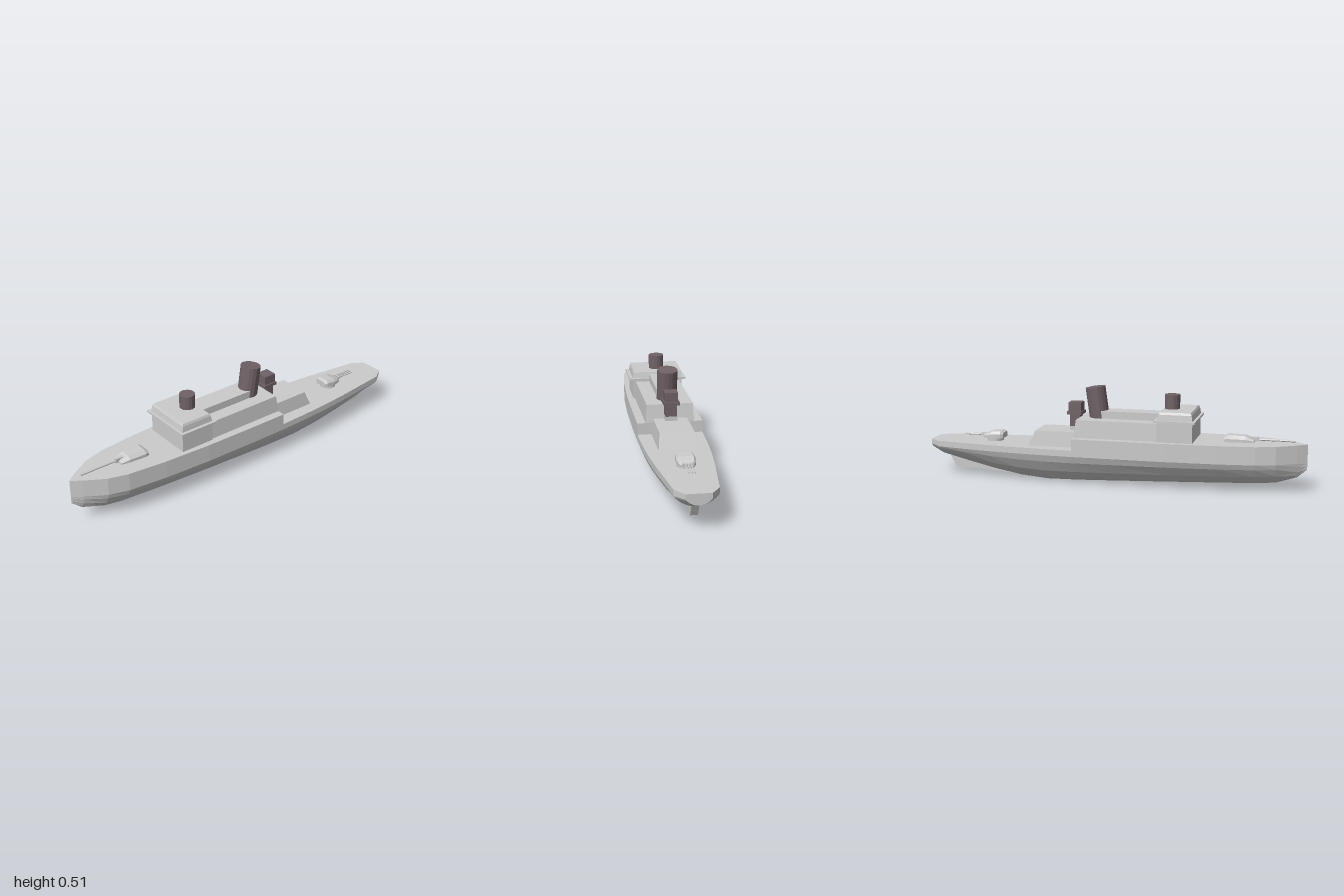
import * as THREE from 'three';

const grey = new THREE.MeshStandardMaterial({ color: 0xcccccc, flatShading: true });
const dark = new THREE.MeshStandardMaterial({ color: 0x6f6267, flatShading: true });

function add(parent, name, geometry, material = grey) {
  const mesh = new THREE.Mesh(geometry, material);
  mesh.name = name;
  parent.add(mesh);
  return mesh;
}

// Skin closed cross-sections (counterclockwise seen from +z) running from bow to stern
function loft(sections) {
  const n = sections[0].length;
  const index = [];
  for (let i = 0; i < sections.length - 1; i++) {
    for (let j = 0; j < n; j++) {
      const a = i * n + j, b = i * n + (j + 1) % n;
      index.push(a, a + n, b, b, a + n, b + n);
    }
  }
  const last = (sections.length - 1) * n;
  for (let j = 1; j < n - 1; j++) {
    index.push(0, j, j + 1, last, last + j + 1, last + j);
  }
  const g = new THREE.BufferGeometry();
  g.setAttribute('position', new THREE.Float32BufferAttribute(sections.flat(2), 3));
  g.setIndex(index);
  const flat = g.toNonIndexed();
  flat.computeVertexNormals();
  return flat;
}

// Block with sloping sides: half widths and z ranges at its bottom and top
function block(y0, y1, w0, w1, [back0, front0], [back1, front1]) {
  const end = (zb, zt) => [[-w0, y0, zb], [w0, y0, zb], [w1, y1, zt], [-w1, y1, zt]];
  return loft([end(front0, front1), end(back0, back1)]);
}

function barrel(parent, x, y, z0, z1, r) {
  const g = new THREE.CylinderGeometry(r, r, Math.abs(z1 - z0), 8).rotateX(Math.PI / 2);
  add(parent, 'gunBarrel', g).position.set(x, y, (z0 + z1) / 2);
}

function buildHull(ship) {
  // z, half beam, deck height, bilge height, keel height
  const stations = [
    [1, 0.001, 0.25, 0.157, 0.12], [0.95, 0.038, 0.25, 0.157, 0.08],
    [0.85, 0.098, 0.25, 0.157, 0.05], [0.75, 0.128, 0.25, 0.157, 0.042],
    [0.55, 0.15, 0.25, 0.157, 0.034], [0.3, 0.163, 0.25, 0.157, 0.024],
    [0, 0.167, 0.25, 0.157, 0.012], [-0.185, 0.167, 0.25, 0.157, 0.005],
    [-0.185, 0.167, 0.19, 0.157, 0.005], [-0.35, 0.162, 0.19, 0.157, 0.002],
    [-0.5, 0.153, 0.19, 0.157, 0.014], [-0.65, 0.139, 0.19, 0.157, 0.04],
    [-0.8, 0.12, 0.19, 0.158, 0.073], [-0.94, 0.103, 0.19, 0.16, 0.108],
    [-1, 0.06, 0.19, 0.165, 0.135],
  ];
  // Fractions of the half beam and of the bilge depth
  const profile = [[1, 1], [0.91, 0.76], [0.69, 0.4], [0.41, 0.11], [0.2, 0]];
  add(ship, 'hull', loft(stations.map(([z, w, deck, bilge, keel]) => {
    const side = [[w, deck, z], ...profile.map(([fx, fy]) => [w * fx, keel + (bilge - keel) * fy, z])];
    return [...side.map(([x, y, d]) => [-x, y, d]), ...side.reverse()];
  })));

  // Stern fin
  const fin = new THREE.Shape([[-0.45, 0.01], [-0.65, 0.024], [-0.88, 0.038], [-0.92, 0.115], [-0.6, 0.06]]
    .map(([z, y]) => new THREE.Vector2(-z, y)));
  add(ship, 'sternFin', new THREE.ExtrudeGeometry(fin, { depth: 0.036, bevelEnabled: false })
    .translate(0, 0, -0.018).rotateY(Math.PI / 2));
}

function buildHouses(ship) {
  // Bridge
  add(ship, 'bridgeBase', block(0.25, 0.352, 0.132, 0.132, [0.255, 0.436], [0.255, 0.436]));
  add(ship, 'bridgePlatform', block(0.352, 0.362, 0.151, 0.151, [0.24, 0.451], [0.24, 0.451]));
  add(ship, 'bridgeTop', block(0.362, 0.392, 0.134, 0.131, [0.256, 0.437], [0.263, 0.432]));
  add(ship, 'bridgeRoof', block(0.392, 0.404, 0.131, 0.126, [0.263, 0.432], [0.268, 0.426]));

  // Midship and aft deckhouses
  add(ship, 'midHouse', block(0.25, 0.342, 0.124, 0.118, [-0.185, 0.26], [-0.172, 0.26]));
  add(ship, 'midHouseSpine', block(0.342, 0.381, 0.046, 0.046, [-0.07, 0.27], [-0.06, 0.27]));
  add(ship, 'aftHouse', block(0.19, 0.27, 0.095, 0.086, [-0.437, -0.18], [-0.402, -0.18]));
}

function buildFunnels(ship) {
  add(ship, 'frontFunnel', new THREE.CylinderGeometry(0.04, 0.04, 0.08, 16), dark)
    .position.set(0, 0.436, 0.31);
  const funnel = add(ship, 'mainFunnel', new THREE.CylinderGeometry(0.052, 0.052, 0.19, 16), dark);
  funnel.position.set(0, 0.406, -0.084);
  funnel.rotation.x = -0.14;

  // Aft tower
  add(ship, 'towerFoot', block(0.265, 0.292, 0.03, 0.03, [-0.229, -0.173], [-0.229, -0.173]));
  add(ship, 'towerShaft', block(0.292, 0.354, 0.029, 0.029, [-0.228, -0.174], [-0.228, -0.174]), dark);
  add(ship, 'towerPlatform', block(0.354, 0.37, 0.04, 0.04, [-0.242, -0.162], [-0.242, -0.162]), dark);
  add(ship, 'towerCabin', block(0.37, 0.417, 0.033, 0.033, [-0.235, -0.168], [-0.235, -0.168]), dark);
}

// Turret shell: rows of [z, lower half width, bottom, shoulder, roof half width, roof]
function turretShell(rows) {
  return loft(rows.map(([z, w, y0, y1, wt, y2]) =>
    [[-w, y0, z], [w, y0, z], [w, y1, z], [wt, y2, z], [-wt, y2, z], [-w, y1, z]]));
}

function buildGuns(ship) {
  const front = new THREE.Group();
  front.name = 'frontTurret';
  front.position.x = 0.006;
  add(front, 'turretShell', turretShell([
    [0.735, 0.033, 0.25, 0.256, 0.024, 0.26], [0.69, 0.042, 0.25, 0.264, 0.026, 0.28],
    [0.6, 0.049, 0.25, 0.266, 0.03, 0.282], [0.582, 0.042, 0.25, 0.262, 0.028, 0.272],
  ]));
  add(front, 'gunMount', new THREE.BoxGeometry(0.018, 0.022, 0.05)).position.set(0, 0.263, 0.725);
  barrel(front, 0, 0.262, 0.72, 0.94, 0.006);
  ship.add(front);

  const aft = new THREE.Group();
  aft.name = 'aftTurret';
  add(aft, 'turretBase', new THREE.CylinderGeometry(0.043, 0.043, 0.02, 16)).position.set(0, 0.198, -0.655);
  add(aft, 'turretShell', turretShell([
    [-0.6, 0.034, 0.207, 0.226, 0.027, 0.236], [-0.615, 0.043, 0.207, 0.23, 0.033, 0.243],
    [-0.665, 0.047, 0.207, 0.227, 0.035, 0.24], [-0.695, 0.041, 0.207, 0.22, 0.032, 0.23],
    [-0.712, 0.03, 0.207, 0.214, 0.024, 0.222],
  ]));
  for (const x of [-0.014, 0, 0.014]) {
    add(aft, 'gunSleeve', new THREE.BoxGeometry(0.009, 0.012, 0.04)).position.set(x, 0.219, -0.715);
    barrel(aft, x, 0.219, -0.7, -0.825, 0.004);
  }
  ship.add(aft);
}

export function createModel() {
  const ship = new THREE.Group();
  ship.name = 'warship';
  buildHull(ship);
  buildHouses(ship);
  buildFunnels(ship);
  buildGuns(ship);
  return ship;
}
